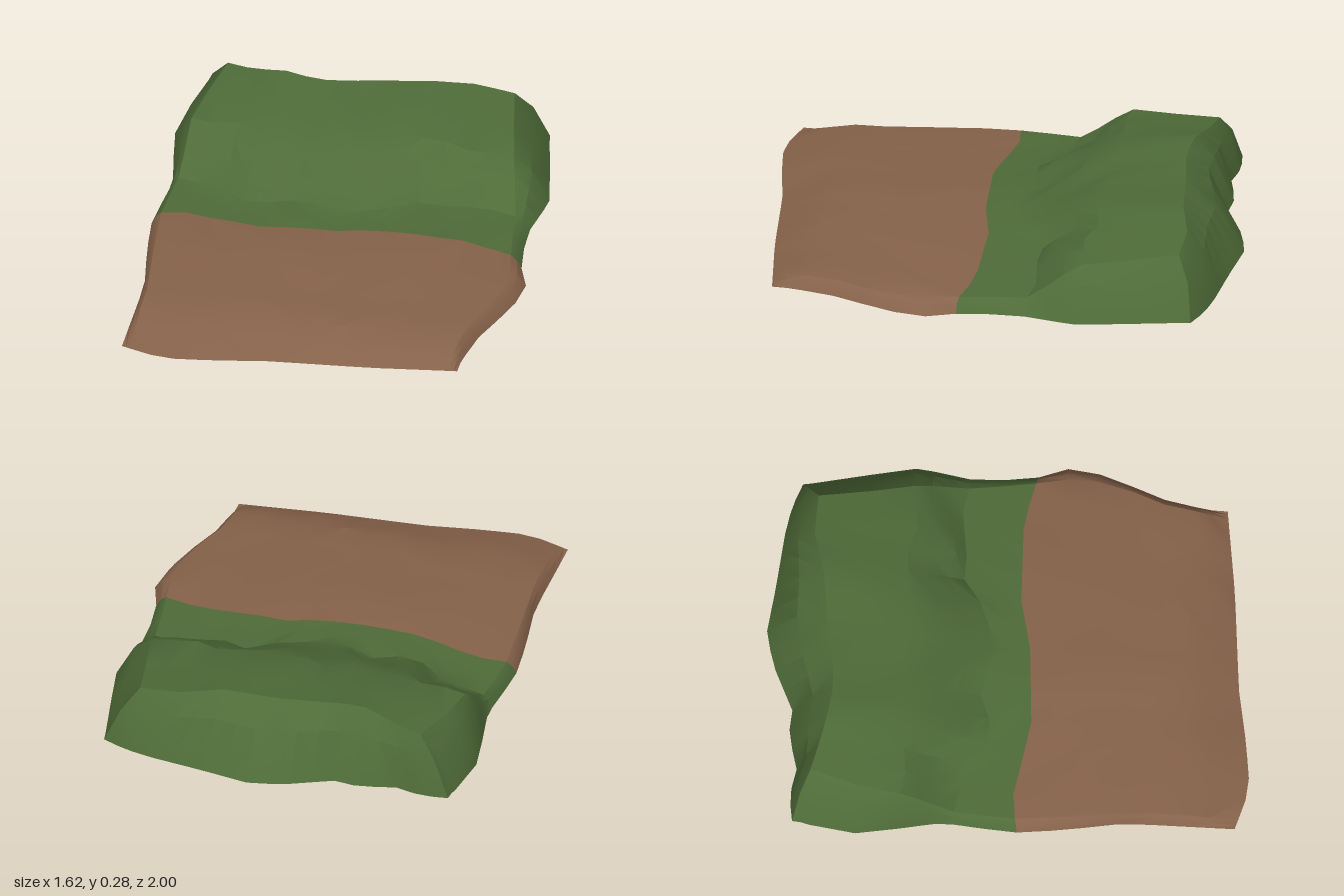
import * as THREE from 'three';
import { toCreasedNormals } from 'three/addons/utils/BufferGeometryUtils.js';

// Piecewise linear curve through [position, value] pairs
const curve = (pts) => (p) => {
  if (p <= pts[0][0]) return pts[0][1];
  for (let i = 1; i < pts.length; i++) {
    const [a, va] = pts[i - 1], [b, vb] = pts[i];
    if (p <= b) return va + (vb - va) * (p - a) / (b - a);
  }
  return pts[pts.length - 1][1];
};
const { lerp, clamp } = THREE.MathUtils;

// Ground outline: x of the sides along z, z of the ends along x
const baseLeft = curve([[-0.86, -0.77], [-0.62, -0.815], [-0.4, -0.78], [-0.2, -0.75], [0.05, -0.78], [0.25, -0.76], [0.5, -0.72], [0.95, -0.725]]);
const baseRight = curve([[-0.88, 0.695], [-0.7, 0.72], [-0.5, 0.78], [-0.4, 0.785], [-0.1, 0.74], [0.05, 0.765], [0.2, 0.81], [0.35, 0.79], [0.65, 0.675], [0.86, 0.655]]);
const baseBack = curve([[-0.77, -0.86], [-0.66, -0.875], [-0.54, -0.85], [-0.4, -0.89], [-0.29, -0.88], [-0.1, -0.965], [0.04, -1], [0.25, -0.97], [0.47, -0.945], [0.6, -0.92], [0.69, -0.88]]);
const baseFront = curve([[-0.72, 0.95], [-0.62, 0.985], [-0.52, 1], [-0.35, 0.98], [-0.12, 0.94], [0.3, 0.905], [0.65, 0.86]]);

// Upper rim where the sloping walls meet the top surface
const rimLeft = curve([[-0.79, -0.63], [-0.5, -0.705], [-0.2, -0.715], [0.05, -0.74], [0.3, -0.72], [0.6, -0.69], [0.95, -0.69]]);
const rimRight = curve([[-0.8, 0.56], [-0.4, 0.64], [-0.2, 0.68], [-0.05, 0.7], [0.1, 0.73], [0.25, 0.75], [0.4, 0.73], [0.65, 0.635], [0.86, 0.625]]);
const rimBack = curve([[-0.63, -0.79], [-0.4, -0.73], [-0.25, -0.71], [0, -0.75], [0.2, -0.77], [0.4, -0.82], [0.56, -0.81]]);

// Heights and the lines that divide the top surface
const ridge = curve([[-0.7, 0.22], [-0.63, 0.245], [-0.5, 0.25], [-0.4, 0.285], [-0.2, 0.265], [0, 0.265], [0.22, 0.28], [0.4, 0.258], [0.57, 0.24], [0.64, 0.205]]);
const brow = curve([[-0.7, 0.21], [-0.4, 0.232], [0.3, 0.235], [0.64, 0.2]]);
const foot = curve([[-0.72, -0.2], [-0.5, -0.16], [-0.43, -0.06], [-0.3, -0.1], [0, -0.07], [0.12, -0.1], [0.25, -0.18], [0.65, -0.2]]);
const low = curve([[-0.74, 0.055], [-0.4, 0.072], [-0.1, 0.085], [0.3, 0.075], [0.72, 0.055]]);
const border = curve([[-0.78, 0.06], [-0.66, 0.035], [-0.33, 0.1], [0, 0.08], [0.2, 0.035], [0.55, 0.03], [0.75, 0.08]]);

// Rows from back to front: typical z, z along x, height along x, share of the back wall
const mix = (f, g, t) => (x) => lerp(f(x), g(x), t);
const at = (z) => () => z;
const scaled = (f, s) => (x) => f(x) * s;
const ROWS = [
  [-0.88, baseBack, ridge, 0],
  [-0.84, mix(baseBack, rimBack, 0.5), ridge, 0.5],
  [-0.79, rimBack, ridge, 1],
  [-0.6, at(-0.6), mix(ridge, brow, 0.5), 1],
  [-0.42, at(-0.42), brow, 1],
  [-0.33, mix(at(-0.42), foot, 0.33), mix(brow, low, 0.3), 1],
  [-0.24, mix(at(-0.42), foot, 0.67), mix(brow, low, 0.68), 1],
  [-0.15, foot, low, 1],
  [-0.04, mix(foot, border, 0.5), low, 1],
  [0.06, border, low, 1],
  [0.2, at(0.2), scaled(low, 1.05), 1],
  [0.33, at(0.33), low, 1],
  [0.47, at(0.47), scaled(low, 0.97), 1],
  [0.6, at(0.6), scaled(low, 0.92), 1],
  [0.73, at(0.73), scaled(low, 0.88), 1],
  [0.84, mix(at(0.73), baseFront, 0.5), scaled(low, 0.5), 1],
  [0.92, baseFront, at(0), 1],
];
const BORDER_ROW = 9;

// Columns: side wall in three steps, top surface, side wall again
const SPAN = 14, WALL = 2, COLS = SPAN + 2 * WALL;
const wobble = (i, j) => {
  const s = Math.sin(i * 12.9898 + j * 78.233) * 43758.5453;
  return s - Math.floor(s) - 0.5;
};

function point(i, j) {
  const [z0, zOf, height, backShare] = ROWS[j];
  const sideShare = clamp(Math.min(i, COLS - i) / WALL, 0, 1);
  let x;
  if (i < WALL) x = lerp(baseLeft(z0), rimLeft(z0), sideShare);
  else if (i > COLS - WALL) x = lerp(baseRight(z0), rimRight(z0), sideShare);
  else x = lerp(rimLeft(z0), rimRight(z0), (i - WALL) / SPAN);
  let z = zOf(x);
  let y = height(x) * Math.sin(Math.min(sideShare, backShare) * Math.PI / 2);
  // Slight unevenness on the open ground only
  const inner = i > WALL && i < COLS - WALL && j > 2 && j < ROWS.length - 1;
  if (inner) {
    y += wobble(i, j) * 0.01;
    if (j !== BORDER_ROW) z += wobble(i + 31, j) * 0.05;
  }
  return [x, y, z];
}

// Skin between two rows, with diagonals running into the corners
function strip(from, to) {
  const positions = [], index = [];
  for (let j = from; j <= to; j++)
    for (let i = 0; i <= COLS; i++) positions.push(...point(i, j));
  const w = COLS + 1;
  for (let j = 0; j < to - from; j++)
    for (let i = 0; i < COLS; i++) {
      const a = j * w + i, b = a + 1, c = a + w, d = c + 1;
      if (i < COLS / 2) index.push(a, c, d, a, d, b);
      else index.push(a, c, b, b, c, d);
    }
  const geometry = new THREE.BufferGeometry();
  geometry.setAttribute('position', new THREE.Float32BufferAttribute(positions, 3));
  geometry.setIndex(index);
  return toCreasedNormals(geometry, 0.45);
}

export function createModel() {
  const group = new THREE.Group();
  group.name = 'terrainTile';
  const add = (name, color, from, to) => {
    const material = new THREE.MeshStandardMaterial({ color, side: THREE.DoubleSide });
    const mesh = new THREE.Mesh(strip(from, to), material);
    mesh.name = name;
    group.add(mesh);
  };
  // Grassy bank at the back, bare earth in front; open underneath
  add('grassBank', 0x4f6b38, 0, BORDER_ROW);
  add('dirtGround', 0x86624a, BORDER_ROW, ROWS.length - 1);
  return group;
}
